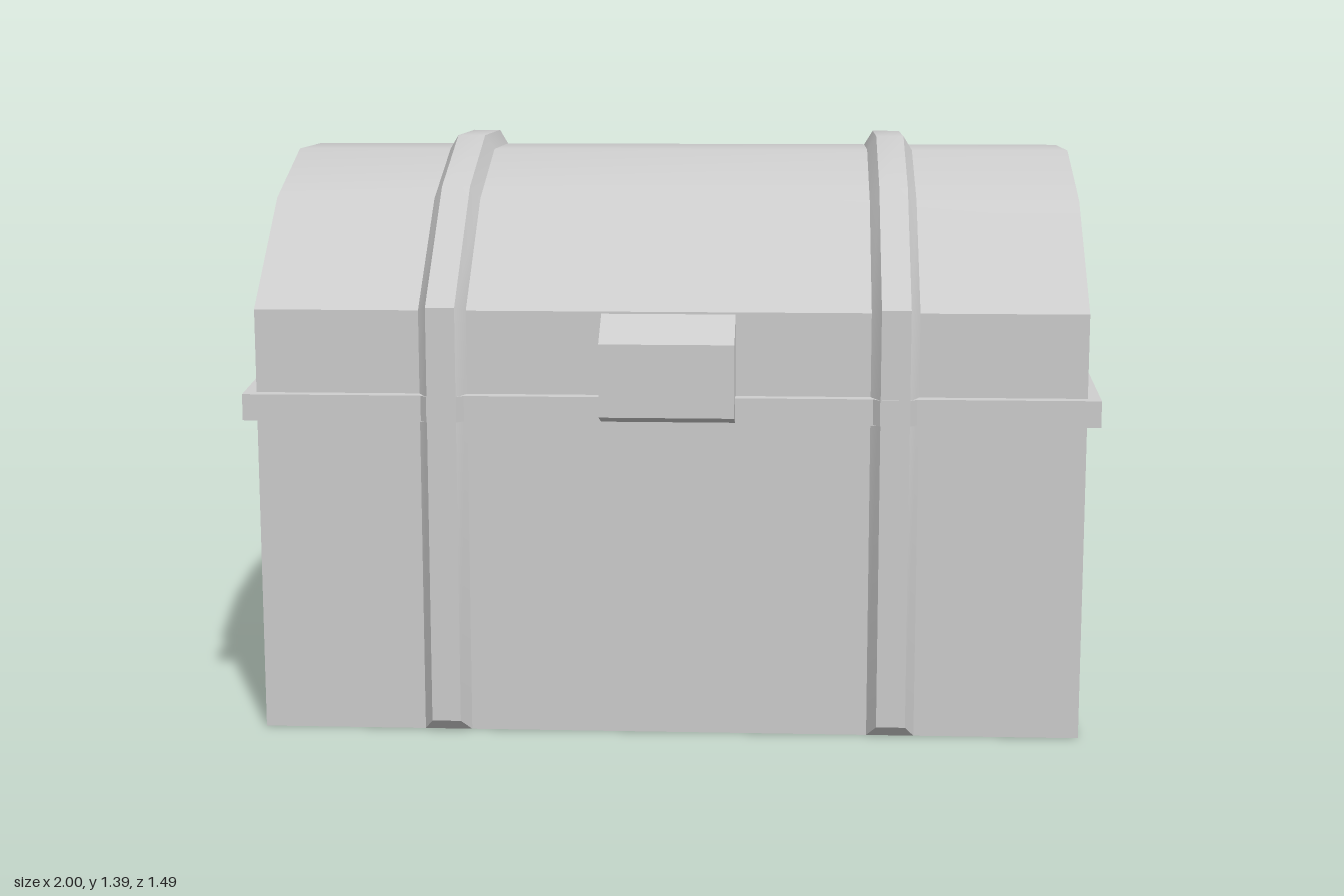
import * as THREE from 'three';
import { toCreasedNormals } from 'three/addons/utils/BufferGeometryUtils.js';

const material = new THREE.MeshStandardMaterial({ color: 0xcccccc });

function part(name, geometry) {
  const mesh = new THREE.Mesh(toCreasedNormals(geometry, 0.6), material);
  mesh.name = name;
  return mesh;
}

const toShape = (points) => new THREE.Shape(points.map(([a, b]) => new THREE.Vector2(a, b)));

// Extrudes a [z, y] profile across the width, centred on x = 0
function acrossWidth(points, width) {
  return new THREE.ExtrudeGeometry(toShape(points), { depth: width, bevelEnabled: false })
    .translate(0, 0, -width / 2)
    .rotateY(-Math.PI / 2);
}

// Raised strap with bevelled sides: each station is [baseZ, baseY, ridgeZ, ridgeY]
function strapGeometry(stations, baseHalf, ridgeHalf) {
  const rows = stations.map(([bz, by, rz, ry]) => [
    [-baseHalf, by, bz], [-ridgeHalf, ry, rz], [ridgeHalf, ry, rz], [baseHalf, by, bz],
  ]);
  const positions = [];
  const quad = (a, b, c, d) => positions.push(...a, ...b, ...c, ...a, ...c, ...d);
  for (let i = 0; i < rows.length - 1; i++) {
    const p = rows[i], q = rows[i + 1];
    for (let j = 0; j < 3; j++) quad(p[j], p[j + 1], q[j + 1], q[j]);
  }
  const s = rows[0], e = rows[rows.length - 1];
  quad(s[0], s[3], s[2], s[1]);
  quad(e[0], e[1], e[2], e[3]);
  const geometry = new THREE.BufferGeometry();
  geometry.setAttribute('position', new THREE.Float32BufferAttribute(positions, 3));
  return geometry;
}

// Small trapezoid where the rim band rises over a strap
function lipGeometry(zBase, zRidge) {
  const points = [[-0.06, -zBase], [0.06, -zBase], [0.035, -zRidge], [-0.035, -zRidge]];
  return new THREE.ExtrudeGeometry(toShape(points), { depth: 0.06, bevelEnabled: false })
    .rotateX(-Math.PI / 2)
    .translate(0, 0.752, 0);
}

export function createModel() {
  const chest = new THREE.Group();
  chest.name = 'chest';

  // Box with faceted barrel lid
  chest.add(part('body', acrossWidth([
    [0.66, 0], [0.66, 1.01], [0.39, 1.25], [0.12, 1.355],
    [-0.15, 1.355], [-0.42, 1.25], [-0.69, 1.01], [-0.69, 0],
  ], 1.94)));

  // Rim band, arched along the two ends
  chest.add(part('rimBand', acrossWidth([
    [0.68, 0.75], [0.68, 0.812], [0.42, 0.84], [0.2, 0.855], [-0.23, 0.855], [-0.45, 0.84],
    [-0.715, 0.812], [-0.715, 0.75], [-0.45, 0.766], [-0.23, 0.775], [0.2, 0.775], [0.42, 0.766],
  ], 2)));

  // Straps wrapping front, lid and back
  const stations = [
    [0.66, 0, 0.695, 0.03], [0.66, 1.01, 0.695, 1.02], [0.39, 1.25, 0.41, 1.28],
    [0.12, 1.355, 0.13, 1.39], [-0.15, 1.355, -0.16, 1.39], [-0.42, 1.25, -0.44, 1.28],
    [-0.69, 1.01, -0.72, 1.02], [-0.69, 0.81, -0.745, 0.81], [-0.69, 0.755, -0.745, 0.755],
    [-0.69, 0, -0.72, 0.03],
  ];
  for (const [side, x] of [['left', 0.526], ['right', -0.528]]) {
    const strap = new THREE.Group();
    strap.name = side + 'Strap';
    strap.position.x = x;
    strap.add(
      part('strapBand', strapGeometry(stations, 0.056, 0.034)),
      part('frontLip', lipGeometry(0.67, 0.697)),
      part('backLip', lipGeometry(-0.7, -0.747)),
    );
    chest.add(strap);
  }

  // Latch block
  chest.add(part('latch', acrossWidth([
    [0.6, 0.745], [0.66, 0.748], [0.745, 0.775], [0.745, 0.945], [0.66, 1.005], [0.6, 1.005],
  ], 0.312)));

  return chest;
}
